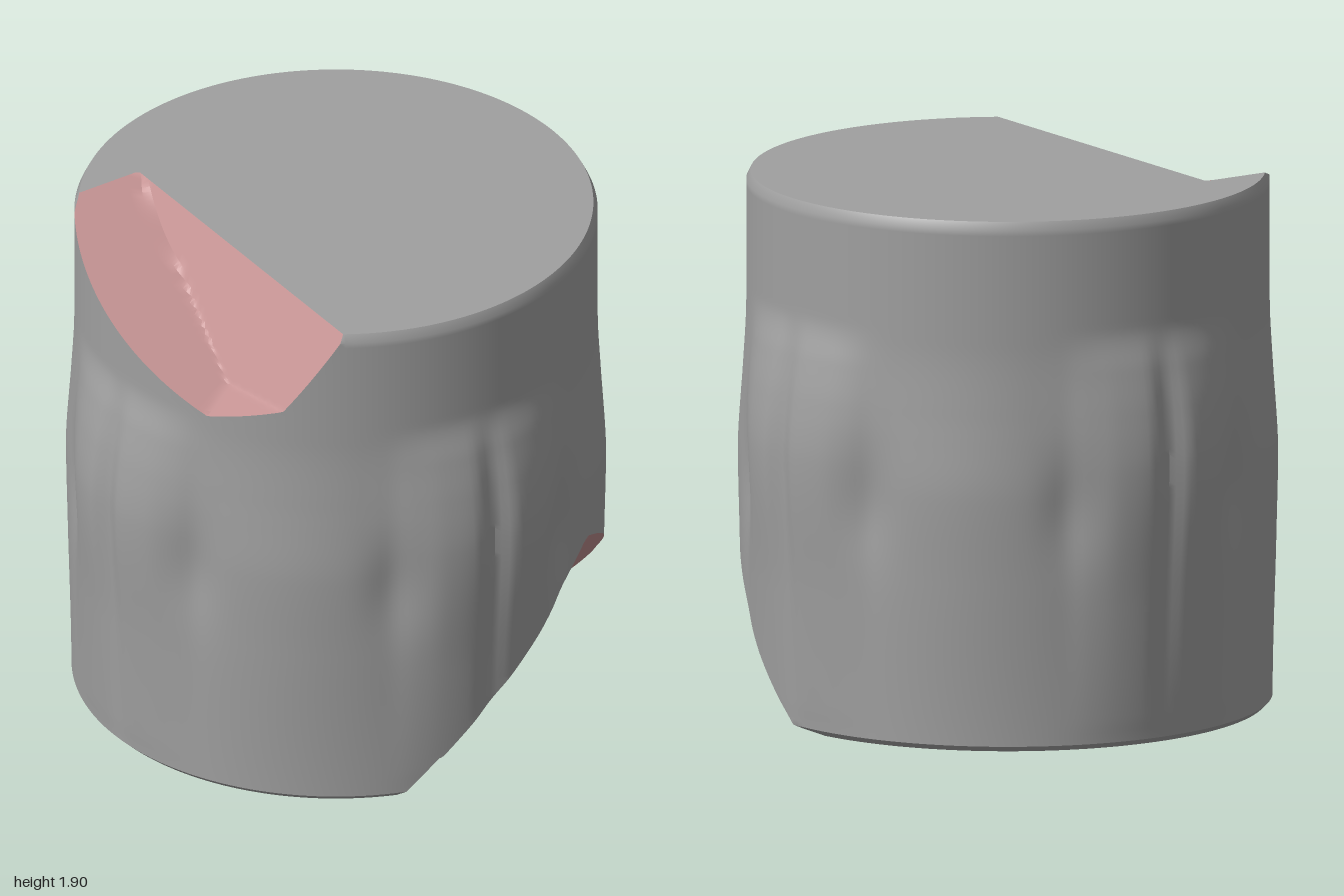
import * as THREE from 'three';
import { toCreasedNormals } from 'three/addons/utils/BufferGeometryUtils.js';

const H = 1.9, SEGS = 240, WALL = 96, RINGS = 24;
const CENTER = new THREE.Vector3(0, H / 2, 0);
const COLORS = { body: 0xa0a0a0, topChip: 0xc69494, footChip: 0xc69494 };

// Smooth curve through [position, value] pairs, without overshoot
function lookup(pairs, x) {
  const rise = (i) => (pairs[i + 1][1] - pairs[i][1]) / (pairs[i + 1][0] - pairs[i][0]);
  const slope = (i) => {
    if (i === 0 || i === pairs.length - 1) return 0;
    const a = rise(i - 1), b = rise(i);
    return a * b > 0 ? 2 * a * b / (a + b) : 0;
  };
  let i = 0;
  while (i < pairs.length - 2 && x > pairs[i + 1][0]) i++;
  const w = pairs[i + 1][0] - pairs[i][0];
  const t = THREE.MathUtils.clamp((x - pairs[i][0]) / w, 0, 1), s = 1 - t;
  return pairs[i][1] * (1 + 2 * t) * s * s + pairs[i + 1][1] * t * t * (3 - 2 * t)
    + w * t * s * (slope(i) * s - slope(i + 1) * t);
}

// Plain wall, with a small bevel at each rim
const BASE = [[0, 0.91], [0.02, 0.93], [1.1, 0.93], [1.45, 0.92], [1.87, 0.92], [1.9, 0.905]];
// Twin-lobed bulge, by degrees from its middle
const LOBE = [[0, 0.58], [4.8, 1], [12, 0.84], [18, 0.5], [24, 0.1], [30, 0], [45, 0]];
const LOBE_HEIGHT = [[0, 0], [0.1, 0.1], [0.5, 0.48], [1, 1], [1.2, 0.78], [1.35, 0.45], [1.5, 0]];
// Low arched swelling between two bulges
const ARCH = [[0, 0], [20, 0], [30, 0.7], [45, 1]];
const ARCH_HEIGHT = [[0, 0], [0.6, 0.7], [0.9, 1], [1.2, 0.2], [1.45, 0]];

function wallRadius(theta, y) {
  const deg = THREE.MathUtils.radToDeg(theta);
  const a = Math.abs(deg - 90 * Math.round(deg / 90));
  const hollow = Math.exp(-(((a - 22) / 6) ** 2) - ((y - 0.85) / 0.18) ** 2);
  return lookup(BASE, y)
    + 0.072 * lookup(LOBE, a) * lookup(LOBE_HEIGHT, y)
    + 0.022 * lookup(ARCH, a) * lookup(ARCH_HEIGHT, y)
    - 0.02 * hollow;
}

// Plane through three points, facing away from the centre
function plane(...points) {
  const [a, b, c] = points.map((p) => new THREE.Vector3(...p));
  const n = b.sub(a).cross(c.sub(a)).normalize();
  let d = n.dot(a.clone().sub(CENTER));
  if (d < 0) { n.negate(); d = -d; }
  return (dir) => {
    const s = n.dot(dir);
    return s > d ? d / s : 1;
  };
}

// Broken upper edge: slopes meeting in a shallow notch
const topSlope = plane([0, 1.9, -0.57], [-1, 1.9, -0.57], [-0.84, 1.5, 0.4]);
const topSide = plane([-0.47, 1.9, 0], [-0.5, 1.9, 0.77], [-0.67, 1.58, 0.64]);
const topFloor = plane([-0.67, 1.58, 0.64], [-0.84, 1.5, 0.4], [-0.7, 1.5, 0]);
// Broken foot: a steep face between two narrow flanks, a nearly level one below
const footFace = plane([-0.2, 0.14, 0.93], [0.93, 0.02, 0], [0.5, 0.69, 0.78]);
const footLeft = plane([-0.2, 0.14, 0.95], [0.42, 0.66, 0.84], [-0.05, 0.14, 0.6]);
const footRight = plane([0.93, 0.02, 0], [0.72, 0.62, 0.64], [0.6, 0.02, 0.05]);
const footUnder = plane([-0.2, 0.14, 0.93], [0.93, 0.02, 0], [-0.25, 0, -0.09]);
const footSide = plane([-0.33, 0, 0.85], [-0.25, 0, -0.09], [-0.2, 0.14, 0.93]);

const CHIPS = {
  topChip: (d) => Math.max(topSlope(d), topSide(d), topFloor(d)),
  footChip: (d) => Math.min(
    Math.max(footFace(d), footLeft(d), footRight(d)),
    Math.max(footUnder(d), footSide(d)),
  ),
};

// Rows run from the middle of the base, up the wall, to the middle of the top
function makeRows() {
  const rows = [];
  for (let i = 0; i < RINGS; i++) rows.push([0, i / RINGS]);
  for (const y of [0, 0.02]) rows.push([y, 1]);
  for (let i = 1; i < WALL; i++) rows.push([0.02 + 1.85 * i / WALL, 1]);
  for (const y of [1.87, 1.9]) rows.push([y, 1]);
  for (let i = RINGS - 1; i >= 0; i--) rows.push([H, i / RINGS]);
  return rows;
}

// Surface point at column j, height y and fraction k of the radius
function makeVertex(j, y, k) {
  const theta = (j % SEGS) / SEGS * Math.PI * 2;
  const r = wallRadius(theta, y) * k;
  const dir = new THREE.Vector3(r * Math.sin(theta), y, r * Math.cos(theta)).sub(CENTER);
  let part = 'body', t = 1;
  for (const name in CHIPS) {
    const s = CHIPS[name](dir);
    if (s < t) { t = s; part = name; }
  }
  return { p: dir.multiplyScalar(t).add(CENTER), part, at: [j, y, k] };
}

// Point between two vertices where the part changes
function border(u, v) {
  let lo = 0, hi = 1, m = u;
  for (let i = 0; i < 14; i++) {
    const t = (lo + hi) / 2;
    m = makeVertex(...u.at.map((q, n) => q + (v.at[n] - q) * t));
    if (m.part === u.part) lo = t; else hi = t;
  }
  return m;
}

export function createModel() {
  const group = new THREE.Group();
  const grid = makeRows().map((row) =>
    Array.from({ length: SEGS + 1 }, (_, j) => makeVertex(j, ...row)));

  // Sort triangles into the body and the broken faces, splitting those on a border
  const parts = { body: [], topChip: [], footChip: [] };
  const put = (name, ...corners) => {
    for (const { p } of corners) parts[name].push(p.x, p.y, p.z);
  };
  const add = (a, b, c) => {
    if (a.part === b.part && b.part === c.part) return put(a.part, a, b, c);
    if (b.part !== c.part) return a.part === c.part ? add(b, c, a) : add(c, a, b);
    const m = border(a, b), n = border(a, c);
    put(a.part, a, m, n);
    put(b.part, m, b, c);
    put(b.part, m, c, n);
  };
  for (let i = 0; i < grid.length - 1; i++) {
    for (let j = 0; j < SEGS; j++) {
      const a = grid[i][j], b = grid[i][j + 1], c = grid[i + 1][j + 1], d = grid[i + 1][j];
      if (i > 0) add(a, b, d);
      if (i < grid.length - 2) add(b, c, d);
    }
  }

  for (const name in parts) {
    const geometry = new THREE.BufferGeometry();
    geometry.setAttribute('position', new THREE.Float32BufferAttribute(parts[name], 3));
    const material = new THREE.MeshStandardMaterial({ color: COLORS[name] });
    const mesh = new THREE.Mesh(toCreasedNormals(geometry, 0.5), material);
    mesh.name = name;
    group.add(mesh);
  }
  return group;
}
